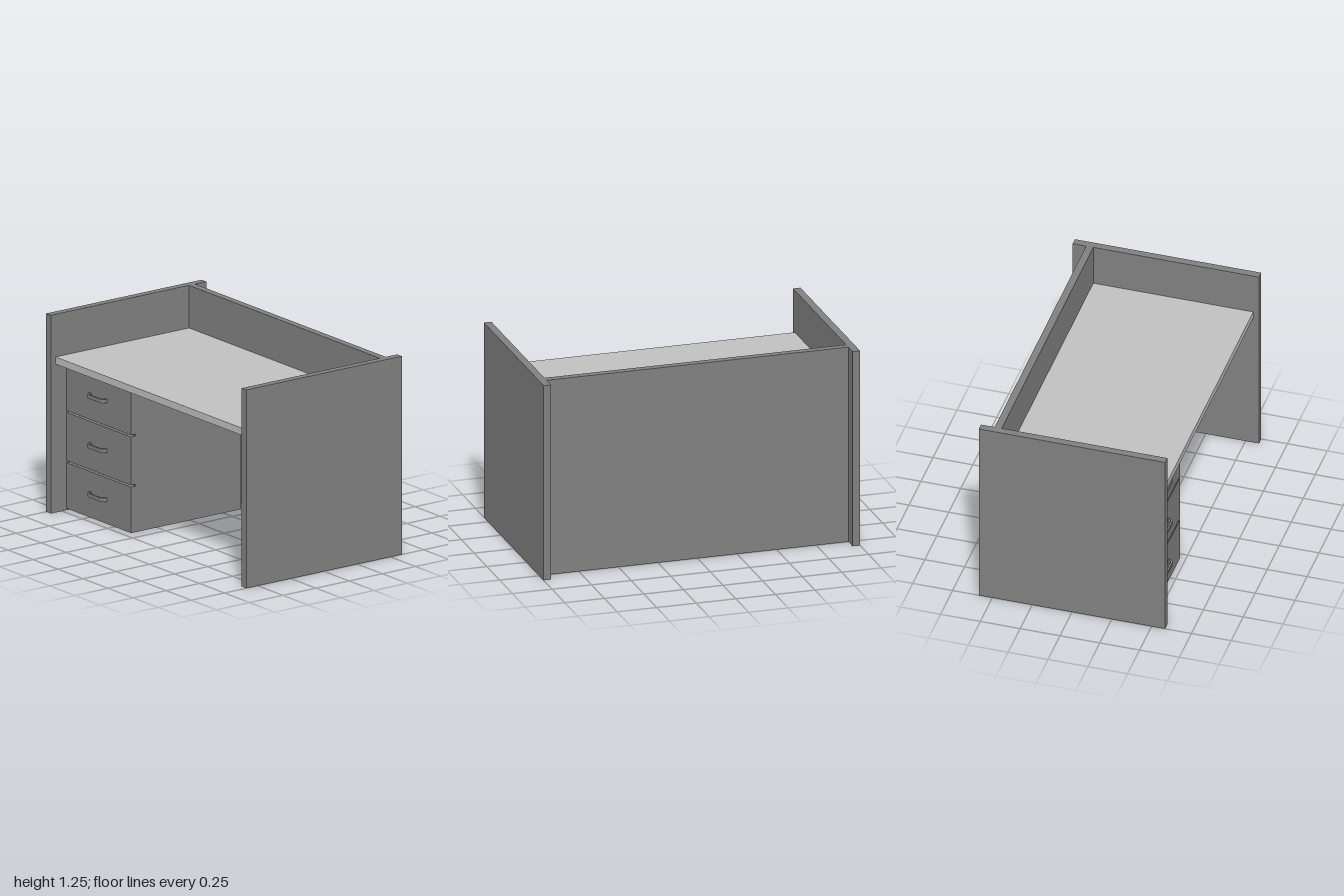
import * as THREE from 'three';

export function createModel() {
  const group = new THREE.Group();
  group.name = 'desk';
  const grey = new THREE.MeshStandardMaterial({ name: 'grey board', color: 0x808080 });
  const light = new THREE.MeshStandardMaterial({ name: 'light worktop', color: 0xc0c0c0 });

  // Box given by its lower and upper corners
  function board(name, [x0, y0, z0], [x1, y1, z1], material = grey) {
    const mesh = new THREE.Mesh(new THREE.BoxGeometry(x1 - x0, y1 - y0, z1 - z0), material);
    mesh.position.set((x0 + x1) / 2, (y0 + y1) / 2, (z0 + z1) / 2);
    mesh.name = name;
    group.add(mesh);
  }

  const H = 1.245, inner = 0.953;

  // Upright panels and worktop
  board('frontEndPanel', [-0.585, 0, inner], [0.585, H, 1]);
  board('rearEndPanel', [-0.585, 0, -1], [0.585, H, -inner]);
  board('modestyPanel', [0.455, 0, -inner], [0.5, H, inner]);
  board('worktop', [-0.55, 0.932, -inner], [0.455, 0.977, inner], light);

  // Drawer pedestal
  const zEnd = -0.306, faceX = -0.469;
  board('drawerCabinet', [-0.435, 0.012, -inner], [0.36, 0.932, zEnd]);

  // Pull handle: a flat bar bent into a U with rounded corners, open to the drawer
  const L = 0.085, D = 0.034, T = 0.011;
  const bow = new THREE.Shape();
  bow.moveTo(-L, 0);
  bow.quadraticCurveTo(-L, D, -L + 0.035, D);
  bow.lineTo(L - 0.035, D);
  bow.quadraticCurveTo(L, D, L, 0);
  bow.lineTo(L - T, 0);
  bow.quadraticCurveTo(L - T, D - T, L - 0.037, D - T);
  bow.lineTo(-L + 0.037, D - T);
  bow.quadraticCurveTo(-L + T, D - T, -L + T, 0);
  bow.closePath();
  const handleGeo = new THREE.ExtrudeGeometry(bow, { depth: 0.024, bevelEnabled: false, curveSegments: 8 });
  handleGeo.translate(0, 0, -0.012);
  handleGeo.rotateX(-Math.PI / 2); // outward bow now points to -z
  handleGeo.rotateY(Math.PI / 2); // and then to -x

  // Three drawer fronts with narrow gaps
  [[0.012, 0.3], [0.312, 0.615], [0.627, 0.925]].forEach(([y0, y1], i) => {
    board('drawerFront' + (i + 1), [faceX, y0, -inner], [-0.435, y1, zEnd]);
    const handle = new THREE.Mesh(handleGeo, grey);
    handle.name = 'drawerHandle' + (i + 1);
    handle.position.set(faceX, (y0 + y1) / 2 + 0.008, (zEnd - inner) / 2);
    group.add(handle);
  });

  return group;
}
